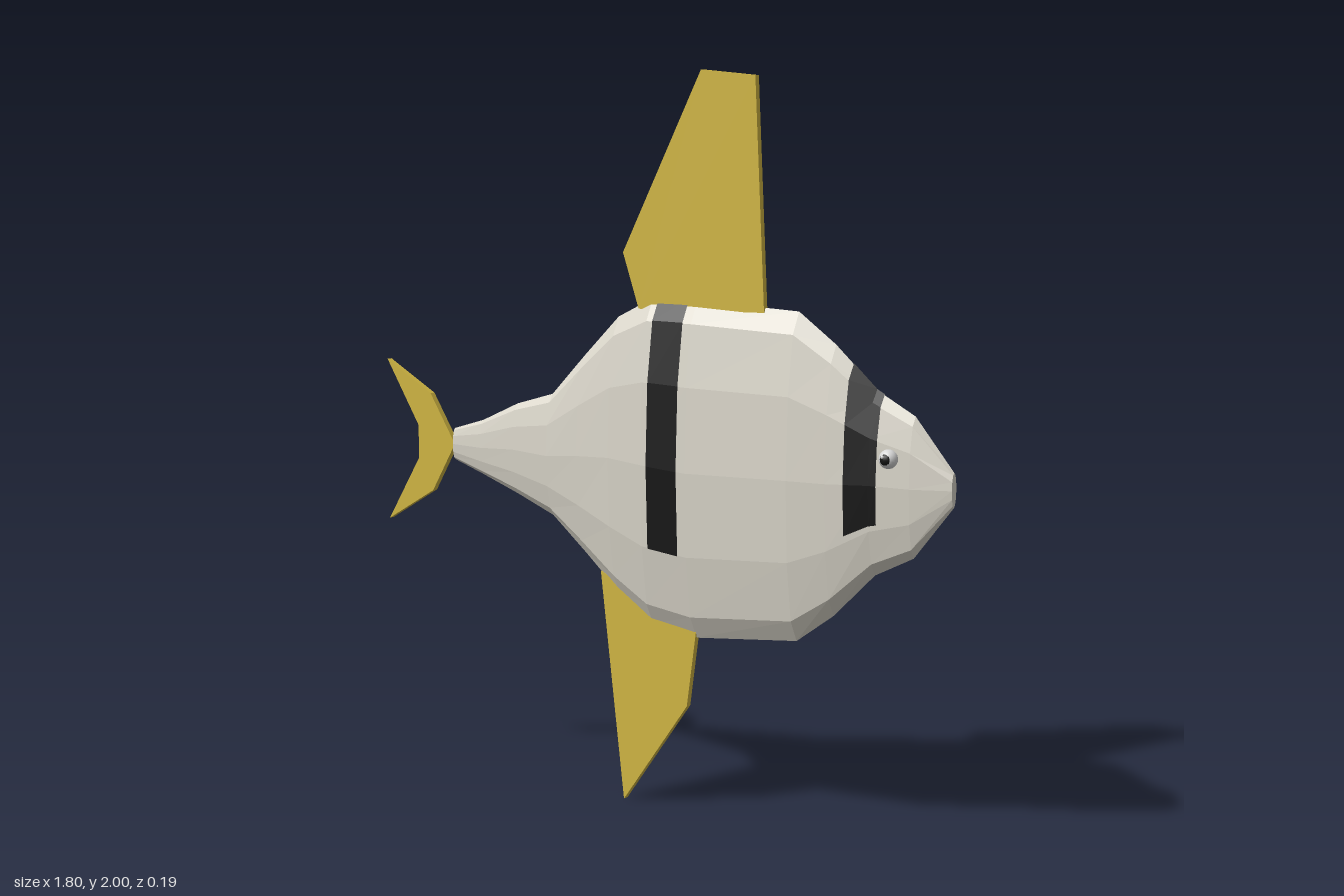
import * as THREE from 'three';
import { ConvexGeometry } from 'three/addons/geometries/ConvexGeometry.js';

const MID_Z = 0.022;
const SIDES = 12;

// Body stations: x, top y, bottom y, half thickness
const STATIONS = [
  [-0.67, 0.995, 0.905, 0.012], [-0.57, 1.025, 0.87, 0.018], [-0.45, 1.08, 0.825, 0.026],
  [-0.33, 1.115, 0.775, 0.035], [-0.22, 1.23, 0.68, 0.046], [-0.11, 1.34, 0.58, 0.057],
  [0, 1.395, 0.505, 0.065], [0.14, 1.395, 0.482, 0.065], [0.45, 1.38, 0.51, 0.065],
  [0.56, 1.3, 0.59, 0.057], [0.68, 1.19, 0.71, 0.047], [0.79, 1.13, 0.765, 0.034],
  [0.9, 0.995, 0.905, 0.013],
];

function stationAt(x) {
  let i = 0;
  while (i < STATIONS.length - 2 && x > STATIONS[i + 1][0]) i++;
  const a = STATIONS[i], b = STATIONS[i + 1];
  const t = (x - a[0]) / (b[0] - a[0]);
  return a.map((v, k) => v + (b[k] - v) * t);
}

// Point on the faceted ring; step 0 is the top, one step per corner
function ringPoint([x, top, bottom, half], step, lift = 0) {
  const corner = (n) => {
    const a = (n / SIDES) * Math.PI * 2;
    return [
      (top + bottom) / 2 + Math.cos(a) * ((top - bottom) / 2 + lift),
      MID_Z + Math.sin(a) * (half + lift),
    ];
  };
  const n = Math.floor(step), t = step - n;
  const p = corner(n), q = corner(n + 1);
  return [x, p[0] + (q[0] - p[0]) * t, p[1] + (q[1] - p[1]) * t];
}

// Surface joining successive rows of points along x
function skin(rows) {
  const width = rows[0].length, index = [];
  for (let i = 0; i < rows.length - 1; i++) {
    for (let j = 0; j < width - 1; j++) {
      const a = i * width + j, b = a + width;
      index.push(a, a + 1, b, b, a + 1, b + 1);
    }
  }
  const g = new THREE.BufferGeometry();
  g.setAttribute('position', new THREE.Float32BufferAttribute(rows.flat(2), 3));
  g.setIndex(index);
  const flat = g.toNonIndexed();
  flat.computeVertexNormals();
  return flat;
}

function finGeometry(points, depth = 0.018) {
  const shape = new THREE.Shape(points.map(([x, y]) => new THREE.Vector2(x, y)));
  const g = new THREE.ExtrudeGeometry(shape, { depth, bevelEnabled: false });
  return g.translate(0, 0, MID_Z - depth / 2);
}

export function createModel() {
  const model = new THREE.Group();
  model.name = 'fish';

  const material = (name, color, extra = {}) => {
    const m = new THREE.MeshStandardMaterial({ color, ...extra });
    m.name = name;
    return m;
  };
  const silver = material('silver skin', 0xdad6ca, { flatShading: true, side: THREE.DoubleSide });
  const yellow = material('yellow fin', 0xd2b743, { flatShading: true });
  const black = material('black', 0x161616, { side: THREE.DoubleSide });
  const white = material('eye white', 0xd8d8d8);

  const add = (name, geometry, mat, parent = model) => {
    const mesh = new THREE.Mesh(geometry, mat);
    mesh.name = name;
    parent.add(mesh);
    return mesh;
  };

  // Body, closed to a point in the middle of each blunt end
  const rows = STATIONS.map((s) => Array.from({ length: SIDES + 1 }, (_, j) => ringPoint(s, j)));
  const cap = (x) => Array.from({ length: SIDES + 1 }, () => [x, 0.95, MID_Z]);
  add('body', skin([cap(-0.67), ...rows, cap(0.9)]), silver);

  // Dark bands draped over the back and down both flanks
  const band = (name, xs, end) => {
    const steps = [-end, -3, -2, -1, 0, 1, 2, 3, end];
    add(name, skin(xs.map((x) => steps.map((n) => ringPoint(stationAt(x), n, 0.003)))), black);
  };
  band('middleStripe', [0.02, 0.115], 4);
  band('headStripe', [0.612, 0.68, 0.702], 3.87);

  // Upright fins
  add('dorsalFin', finGeometry([
    [-0.04, 1.365], [0.35, 1.372], [0.32, 1.985], [0.155, 2], [-0.09, 1.515],
  ]), yellow);
  add('bellyFin', finGeometry([
    [-0.165, 0.635], [-0.09, 0], [0.115, 0.29], [0.145, 0.51], [0, 0.56],
  ]), yellow);
  add('tailFin', finGeometry([
    [-0.665, 0.95], [-0.75, 1.09], [-0.905, 1.18], [-0.795, 0.995],
    [-0.795, 0.9], [-0.905, 0.715], [-0.745, 0.81],
  ]), yellow);

  // Small side fin on the far flank
  const corners = [[0.46, 0.85, -0.044], [0.33, 0.908, -0.053], [0.36, 0.848, -0.092]]
    .map((p) => new THREE.Vector3(...p));
  const normal = new THREE.Triangle(...corners).getNormal(new THREE.Vector3());
  add('sideFin', new ConvexGeometry(corners.flatMap((p) => [
    p.clone().addScaledVector(normal, 0.005), p.clone().addScaledVector(normal, -0.005),
  ])), yellow);

  // Eyes
  for (const side of [1, -1]) {
    const eye = new THREE.Group();
    eye.name = side > 0 ? 'frontEye' : 'backEye';
    eye.position.set(0.735, 1.022, MID_Z + side * 0.041);
    add('eyeball', new THREE.SphereGeometry(0.025, 20, 14), white, eye);
    add('pupil', new THREE.SphereGeometry(0.018, 16, 12), black, eye)
      .position.z = side * 0.0095;
    add('glint', new THREE.SphereGeometry(0.005, 8, 6), white, eye)
      .position.set(-0.005, 0.007, side * 0.0235);
    model.add(eye);
  }
  return model;
}
